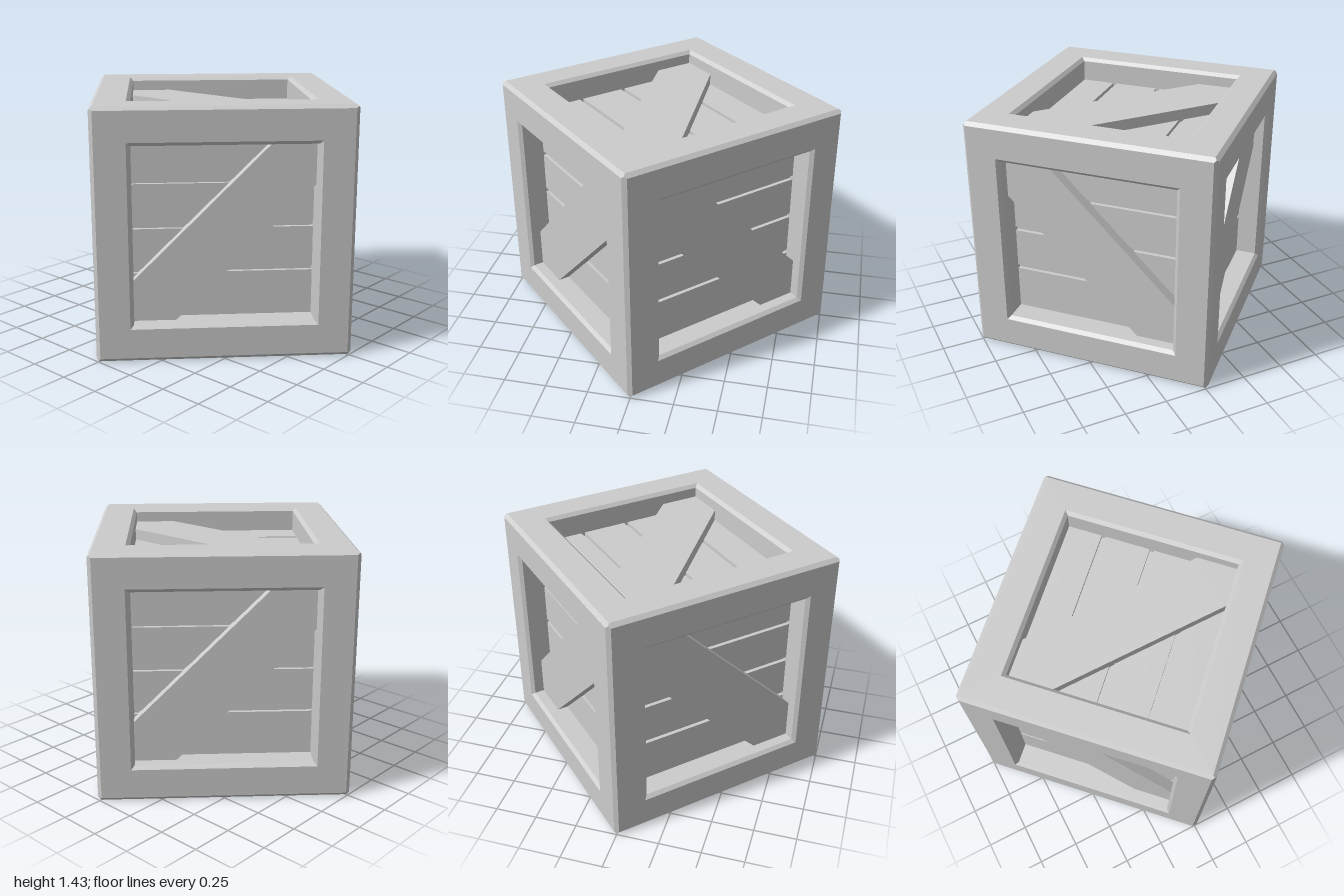
import * as THREE from 'three';

const HALF = 0.7175;     // half the crate's side
const OPEN = 0.505;      // half the opening inside a frame
const PANEL = 0.5725;    // distance of the planks from the centre

const wood = new THREE.MeshStandardMaterial({ color: 0xcccccc });
wood.name = 'pale grey';

function part(geometry, name) {
  const mesh = new THREE.Mesh(geometry, wood);
  mesh.name = name;
  return mesh;
}

// Square frame with bevelled outer and inner edges, lofted through square loops
function frameGeometry() {
  const loops = [ // [half size, distance from centre]
    [0.707, 0.707], [0.6965, HALF], [0.525, HALF], [OPEN, 0.6975], [OPEN, PANEL - 0.03],
  ];
  const corners = [[-1, -1], [1, -1], [1, 1], [-1, 1]];
  const positions = [];
  for (let i = 0; i < loops.length - 1; i++) {
    for (let k = 0; k < 4; k++) {
      const at = ([s, z], c) => [corners[c % 4][0] * s, corners[c % 4][1] * s, z];
      const a = at(loops[i], k), b = at(loops[i], k + 1);
      const c = at(loops[i + 1], k + 1), d = at(loops[i + 1], k);
      positions.push(...a, ...b, ...c, ...a, ...c, ...d);
    }
  }
  const geometry = new THREE.BufferGeometry();
  geometry.setAttribute('position', new THREE.Float32BufferAttribute(positions, 3));
  geometry.computeVertexNormals();
  return geometry;
}

// Diagonal board clipped to the square opening
function braceGeometry(mirror) {
  const e = 0.2675;
  const points = [[-OPEN, -OPEN], [-e, -OPEN], [OPEN, e], [OPEN, OPEN], [e, OPEN], [-OPEN, -e]];
  const shape = new THREE.Shape(points.map(([x, y]) => new THREE.Vector2(x * mirror, y)));
  const geometry = new THREE.ExtrudeGeometry(shape, { depth: 0.075, bevelEnabled: false });
  return geometry.translate(0, 0, PANEL - 0.01);
}

// One crate side facing +z: frame, four planks over a backing, diagonal brace
function createSide(name, mirror, spacing, offset) {
  const side = new THREE.Group();
  side.name = name;
  side.add(part(frameGeometry(), 'frame'));
  side.add(part(braceGeometry(mirror), 'diagonalBrace'));

  const gap = 0.024;
  const edges = [-0.53, offset - spacing, offset, offset + spacing, 0.53];
  for (let i = 0; i < 4; i++) {
    const low = edges[i] + gap / 2, high = edges[i + 1] - gap / 2;
    const plank = part(new THREE.BoxGeometry(1.06, high - low, 0.03), 'plank');
    plank.position.set(0, (low + high) / 2, PANEL - 0.015);
    side.add(plank);
  }
  const backing = part(new THREE.BoxGeometry(1.06, 1.06, 0.02), 'backing');
  backing.position.z = PANEL - 0.032;
  side.add(backing);
  return side;
}

export function createModel() {
  const crate = new THREE.Group();
  crate.name = 'crate';

  // Four walls with alternating braces
  for (let k = 0; k < 4; k++) {
    const wall = createSide('wall', k % 2 ? -1 : 1, 0.257, 0.0235);
    wall.rotation.y = k * Math.PI / 2;
    crate.add(wall);
  }

  // Lid and base
  const lid = createSide('lid', -1, 0.293, 0);
  lid.rotation.x = -Math.PI / 2;
  const base = createSide('base', -1, 0.293, 0);
  base.rotation.x = Math.PI / 2;
  crate.add(lid, base);

  // The crate stands with a corner towards the front
  crate.rotation.y = Math.PI / 4;
  crate.position.y = HALF;

  const model = new THREE.Group();
  model.add(crate);
  return model;
}
